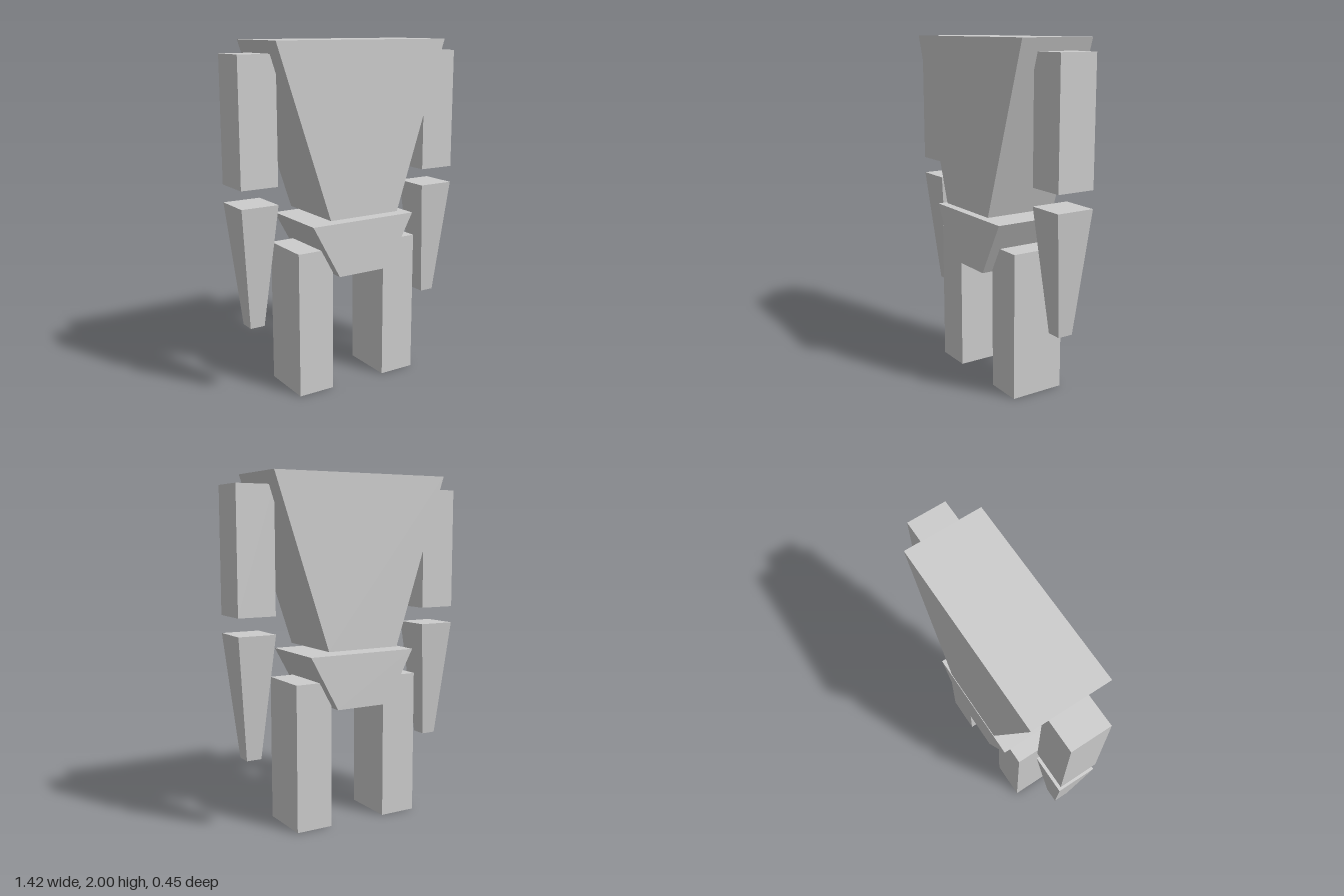
import * as THREE from 'three';

const grey = new THREE.MeshStandardMaterial({ color: 0xcccccc });
grey.name = 'plain grey';

// Box between two heights whose bottom face is scaled in x and z
function taperedBlock(name, x, [y0, y1], width, depth, bottomWidth = width, bottomDepth = depth) {
  const geo = new THREE.BoxGeometry(width, y1 - y0, depth);
  const pos = geo.attributes.position;
  for (let i = 0; i < pos.count; i++) {
    if (pos.getY(i) < 0) {
      pos.setX(i, pos.getX(i) * bottomWidth / width);
      pos.setZ(i, pos.getZ(i) * bottomDepth / depth);
    }
  }
  const flat = geo.toNonIndexed();
  flat.computeVertexNormals();
  const mesh = new THREE.Mesh(flat, grey);
  mesh.name = name;
  mesh.position.set(x, (y0 + y1) / 2, 0);
  return mesh;
}

export function createModel() {
  const model = new THREE.Group();
  model.name = 'blockFigure';

  // Body
  model.add(taperedBlock('torso', -0.003, [1.027, 2], 1.095, 0.447, 0.45));
  model.add(taperedBlock('pelvis', -0.003, [0.694, 1.004], 0.674, 0.447, 0.335));

  // Limbs, one set per side
  for (const [side, s] of [['left', 1], ['right', -1]]) {
    const armX = s * 0.602 - 0.001;
    model.add(taperedBlock(side + 'UpperArm', armX, [1.229, 1.931], 0.221, 0.226));
    model.add(taperedBlock(side + 'Forearm', armX, [0.427, 1.129], 0.221, 0.226, 0.087, 0.09));
    model.add(taperedBlock(side + 'Leg', s * 0.286 - 0.003, [0, 0.846], 0.221, 0.323));
  }
  return model;
}
